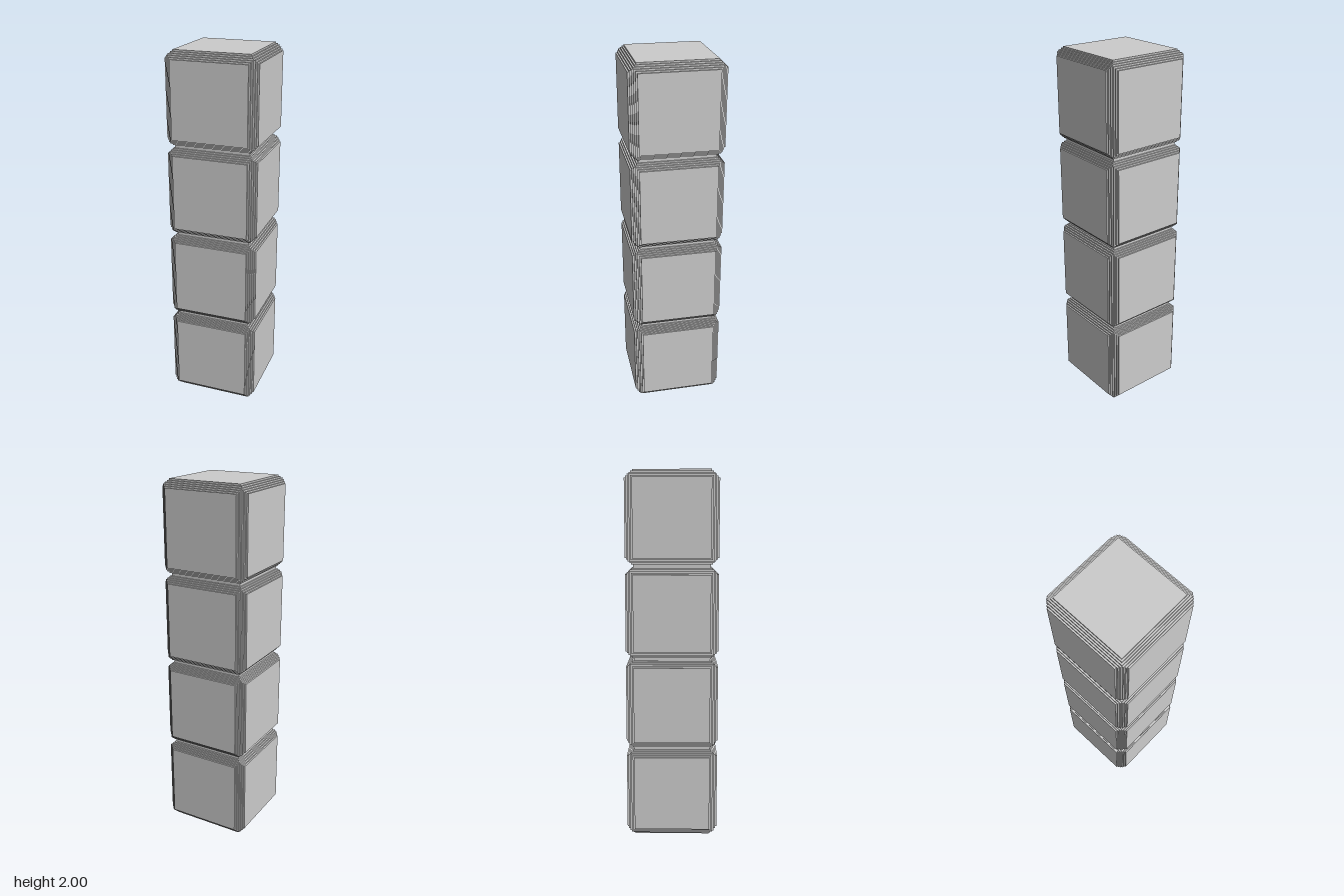
import * as THREE from 'three';

const HALF = 0.25;      // half size of one block
const BEVEL = 0.043;    // depth of the stepped bevel
const STEPS = 5;        // steps across each bevelled edge

// A cube with stair-stepped edges: along each axis, nested boxes that get
// shorter as they get wider.
function createBlock(material) {
  const block = new THREE.Group();
  const d = BEVEL / STEPS;
  for (let axis = 0; axis < 3; axis++) {
    for (let i = 0; i <= STEPS / 2; i++) {
      const size = [0, 1, 2].map(k => 2 * (k === axis ? HALF - i * d : HALF - BEVEL + i * d));
      const step = new THREE.Mesh(new THREE.BoxGeometry(...size), material);
      step.name = `${'xyz'[axis]}Step${i + 1}`;
      block.add(step);
    }
  }
  return block;
}

export function createModel() {
  const model = new THREE.Group();
  model.name = 'blockColumn';
  const material = new THREE.MeshStandardMaterial({ color: 0xcccccc, flatShading: true });

  // Four equal blocks stacked on each other
  for (let n = 0; n < 4; n++) {
    const block = createBlock(material);
    block.name = `block${n + 1}`;
    block.position.y = HALF + n * 2 * HALF;
    model.add(block);
  }
  return model;
}
